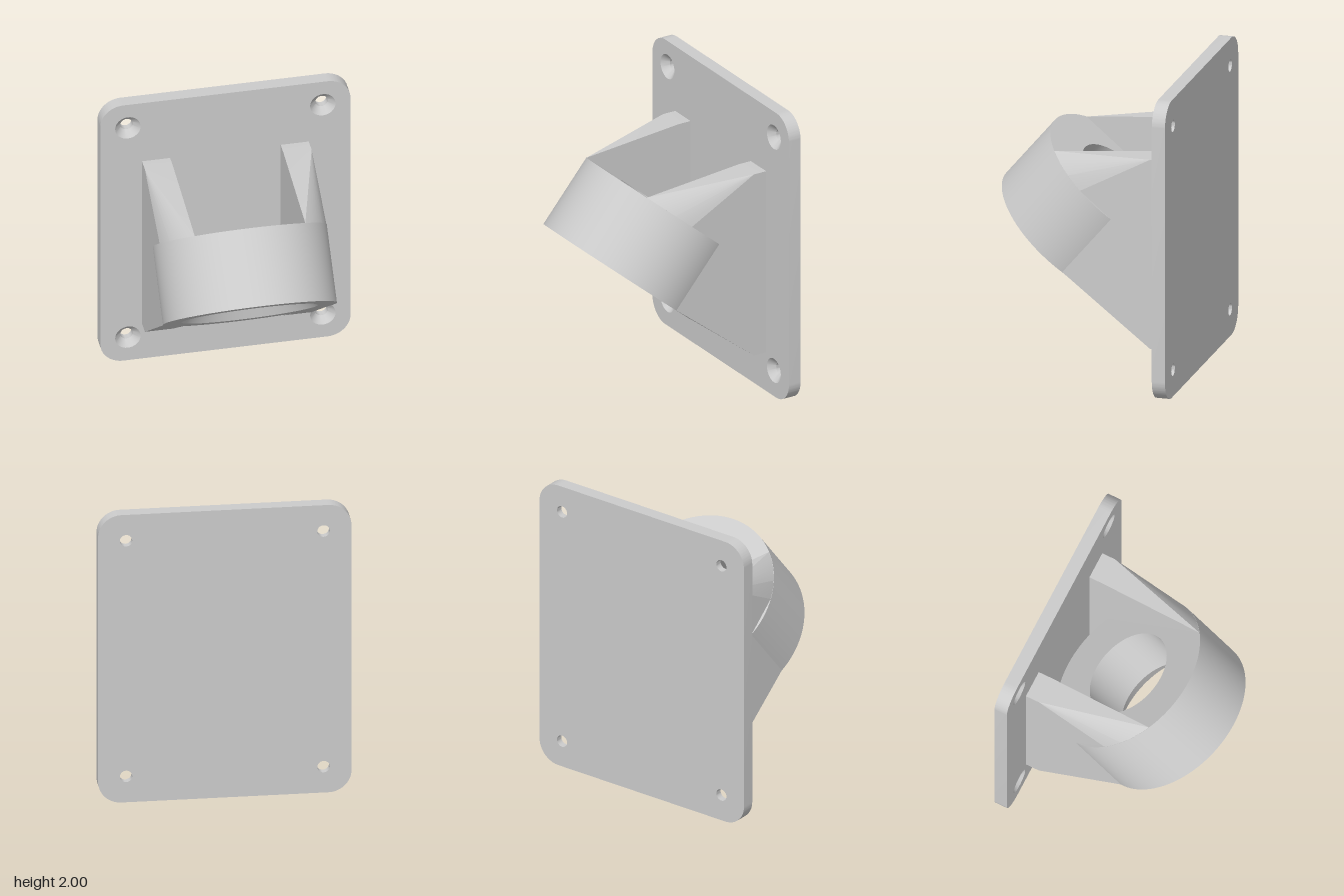
import * as THREE from 'three';
import { toCreasedNormals } from 'three/addons/utils/BufferGeometryUtils.js';
import { ConvexGeometry } from 'three/addons/geometries/ConvexGeometry.js';

const W = 0.815, H = 2, PLATE_BACK = -0.65, PLATE_T = 0.088, CORNER = 0.15;
const HOLE_X = 0.635, HOLE_YS = [0.18, 1.82], SINK_R = 0.083, HOLE_R = 0.04;
const RING_R = 0.56, RING_H = 0.505, BORE_R = 0.3, MOUTH_R = 0.44, CONE_H = 0.15;
const TILT = -THREE.MathUtils.degToRad(40);
const RING_BASE = new THREE.Vector3(0, 0.82, 0.221);
const ARM_IN = 0.36, ARM_OUT = 0.543;

const material = new THREE.MeshStandardMaterial({ color: 0xcccccc });

function part(name, geometry) {
  const mesh = new THREE.Mesh(geometry, material);
  mesh.name = name;
  return mesh;
}

// Closed profile of [radius, height] pairs turned around y
function turned(profile, segments) {
  const points = profile.map(([r, y]) => new THREE.Vector2(r, y));
  return toCreasedNormals(new THREE.LatheGeometry(points, segments), 0.5);
}

// Rounded wall plate with four screw openings
function plateGeometry() {
  const s = new THREE.Shape();
  s.moveTo(W, CORNER);
  s.absarc(W - CORNER, H - CORNER, CORNER, 0, Math.PI / 2);
  s.absarc(-W + CORNER, H - CORNER, CORNER, Math.PI / 2, Math.PI);
  s.absarc(-W + CORNER, CORNER, CORNER, Math.PI, Math.PI * 1.5);
  s.absarc(W - CORNER, CORNER, CORNER, Math.PI * 1.5, Math.PI * 2);
  for (const x of [-HOLE_X, HOLE_X]) for (const y of HOLE_YS) {
    s.holes.push(new THREE.Path().absarc(x, y, SINK_R, 0, Math.PI * 2, true));
  }
  const g = new THREE.ExtrudeGeometry(s, { depth: PLATE_T, bevelEnabled: false, curveSegments: 16 });
  g.translate(0, 0, PLATE_BACK);
  return toCreasedNormals(g, 0.5);
}

// Point in the tilted frame of the ring (h along its axis) to model space
function ringPoint(x, h, s) {
  return new THREE.Vector3(x, h, s).applyAxisAngle(new THREE.Vector3(1, 0, 0), TILT).add(RING_BASE);
}

// Arm: convex blend from a pad on the plate to the side of the ring
function armGeometry(side) {
  const points = [];
  for (const x of [ARM_IN, ARM_OUT]) for (const y of [0.272, 1.545]) {
    for (const z of [PLATE_BACK + PLATE_T - 0.01, -0.47]) points.push(new THREE.Vector3(side * x, y, z));
  }
  const r = RING_R - 0.001, steps = 8;
  const a0 = Math.acos(ARM_OUT / r), a1 = Math.acos(ARM_IN / r);
  for (let i = 0; i <= steps; i++) {
    const a = a0 + (a1 - a0) * i / steps;
    const x = side * r * Math.cos(a), s = r * Math.sin(a);
    points.push(ringPoint(x, RING_H - 0.001, s), ringPoint(x, RING_H - 0.001, -s), ringPoint(x, 0.001, -s));
    // Lower front points stay near the outside to keep the flared mouth clear
    if (i === 0) points.push(ringPoint(x, 0.001, s));
  }
  return toCreasedNormals(new ConvexGeometry(points), 0.25);
}

export function createModel() {
  const group = new THREE.Group();
  group.name = 'wallBracket';
  group.add(part('wallPlate', plateGeometry()));

  // Countersunk screw holes
  const sink = turned([
    [SINK_R, 0], [SINK_R, PLATE_T], [HOLE_R, PLATE_T - 0.043], [HOLE_R, 0], [SINK_R, 0],
  ], 32);
  sink.rotateX(Math.PI / 2);
  for (const x of [-HOLE_X, HOLE_X]) for (const y of HOLE_YS) {
    const hole = part('screwHole', sink);
    hole.position.set(x, y, PLATE_BACK);
    group.add(hole);
  }

  // Tilted holder ring with a flared mouth underneath
  const ring = part('holderRing', turned([
    [MOUTH_R, 0], [RING_R, 0], [RING_R, RING_H], [BORE_R, RING_H], [BORE_R, CONE_H], [MOUTH_R, 0],
  ], 96));
  ring.position.copy(RING_BASE);
  ring.rotation.x = TILT;
  group.add(ring);

  group.add(part('leftArm', armGeometry(1)), part('rightArm', armGeometry(-1)));
  return group;
}
